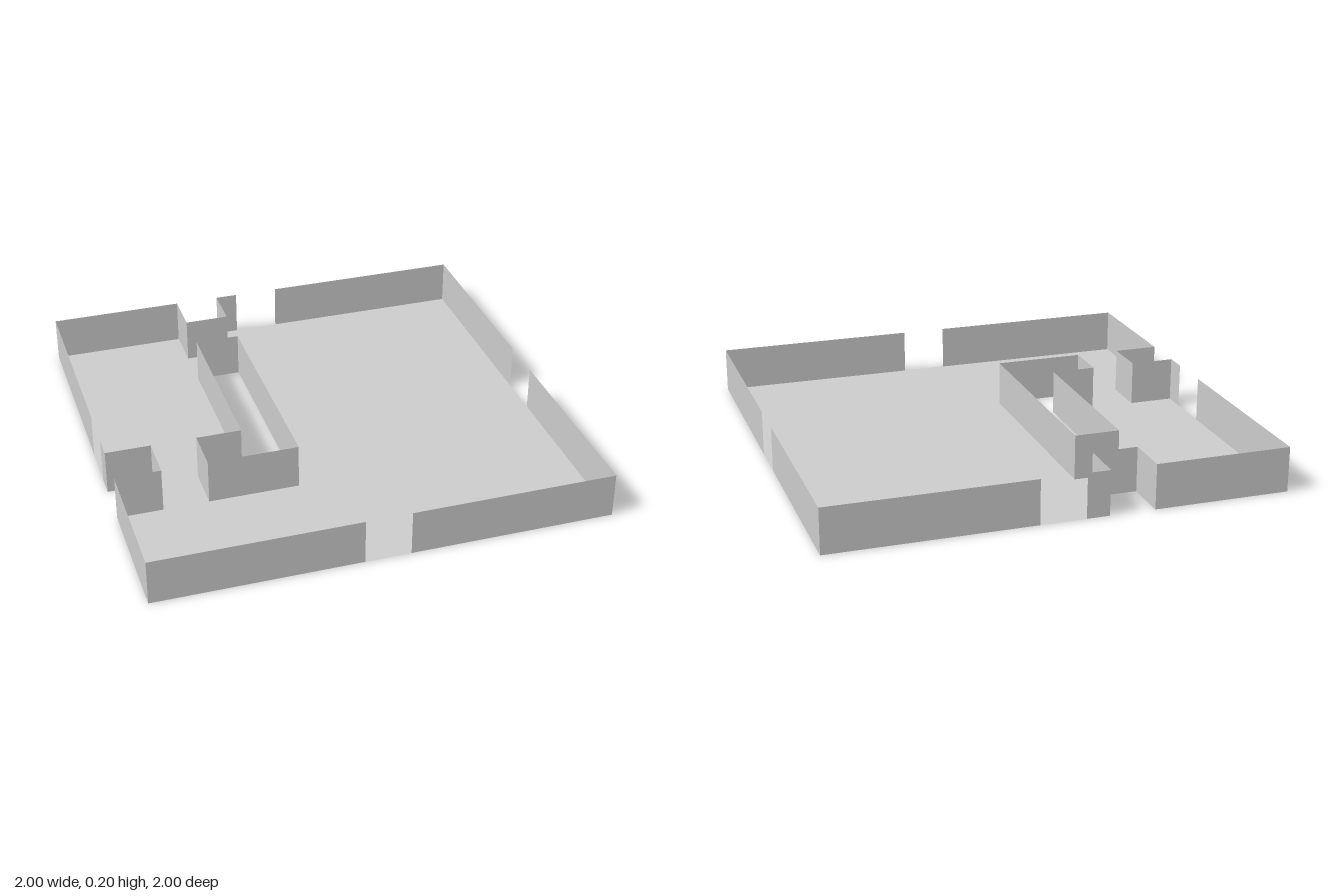
import * as THREE from 'three';

const HEIGHT = 0.2;

export function createModel() {
  const model = new THREE.Group();
  model.name = 'walledCourt';
  const grey = new THREE.MeshStandardMaterial({ color: 0xcccccc, side: THREE.DoubleSide });
  grey.name = 'light grey';

  // Points below are [x, z] on the plan
  const toVectors = (points) => points.map(([x, z]) => new THREE.Vector2(x, -z));

  // Outline of the plan, with a notch in the back and in the right side
  const outline = [
    [-1, 1], [1, 1], [1, -1], [-0.2, -1], [-0.2, -0.8], [-0.4, -0.8], [-0.4, -1],
    [-1, -1], [-1, 0.2], [-0.8, 0.2], [-0.8, 0.4], [-1, 0.4],
  ];
  // L-shaped opening in the floor
  const well = [
    [-0.6, 0.4], [-0.2, 0.4], [-0.2, -0.6], [-0.4, -0.6], [-0.4, 0.2], [-0.6, 0.2],
  ];

  // Flat floor sheet
  const shape = new THREE.Shape(toVectors(outline));
  shape.holes.push(new THREE.Path(toVectors(well)));
  const floor = new THREE.Mesh(new THREE.ShapeGeometry(shape).rotateX(-Math.PI / 2), grey);
  floor.name = 'floor';
  model.add(floor);

  // Thin upright wall between two plan points
  function addWall(parent, name, [x0, z0], [x1, z1]) {
    const dx = x1 - x0, dz = z1 - z0;
    const wall = new THREE.Mesh(new THREE.PlaneGeometry(Math.hypot(dx, dz), HEIGHT), grey);
    wall.name = name;
    wall.position.set((x0 + x1) / 2, HEIGHT / 2, (z0 + z1) / 2);
    wall.rotation.y = Math.atan2(-dz, dx);
    parent.add(wall);
  }

  // Walls along a run of points
  function addRun(name, points) {
    const run = new THREE.Group();
    run.name = name;
    for (let i = 0; i + 1 < points.length; i++) addWall(run, 'wall', points[i], points[i + 1]);
    model.add(run);
  }

  // Outer walls, leaving a doorway in the middle of each side
  addRun('frontLeftWall', [[0.1, 1], [1, 1], [1, 0.1]]);
  addRun('backLeftWall', [[1, -0.1], [1, -1], [0.1, -1]]);
  addRun('backRightWall', [
    [-0.1, -1], [-0.2, -1], [-0.2, -0.8], [-0.4, -0.8], [-0.4, -1], [-1, -1], [-1, -0.1],
  ]);
  addRun('frontRightWall', [
    [-1, 0.1], [-1, 0.2], [-0.8, 0.2], [-0.8, 0.4], [-1, 0.4], [-1, 1], [-0.1, 1],
  ]);

  // Walls around the floor opening
  addRun('wellWall', [...well, well[0]]);

  return model;
}
